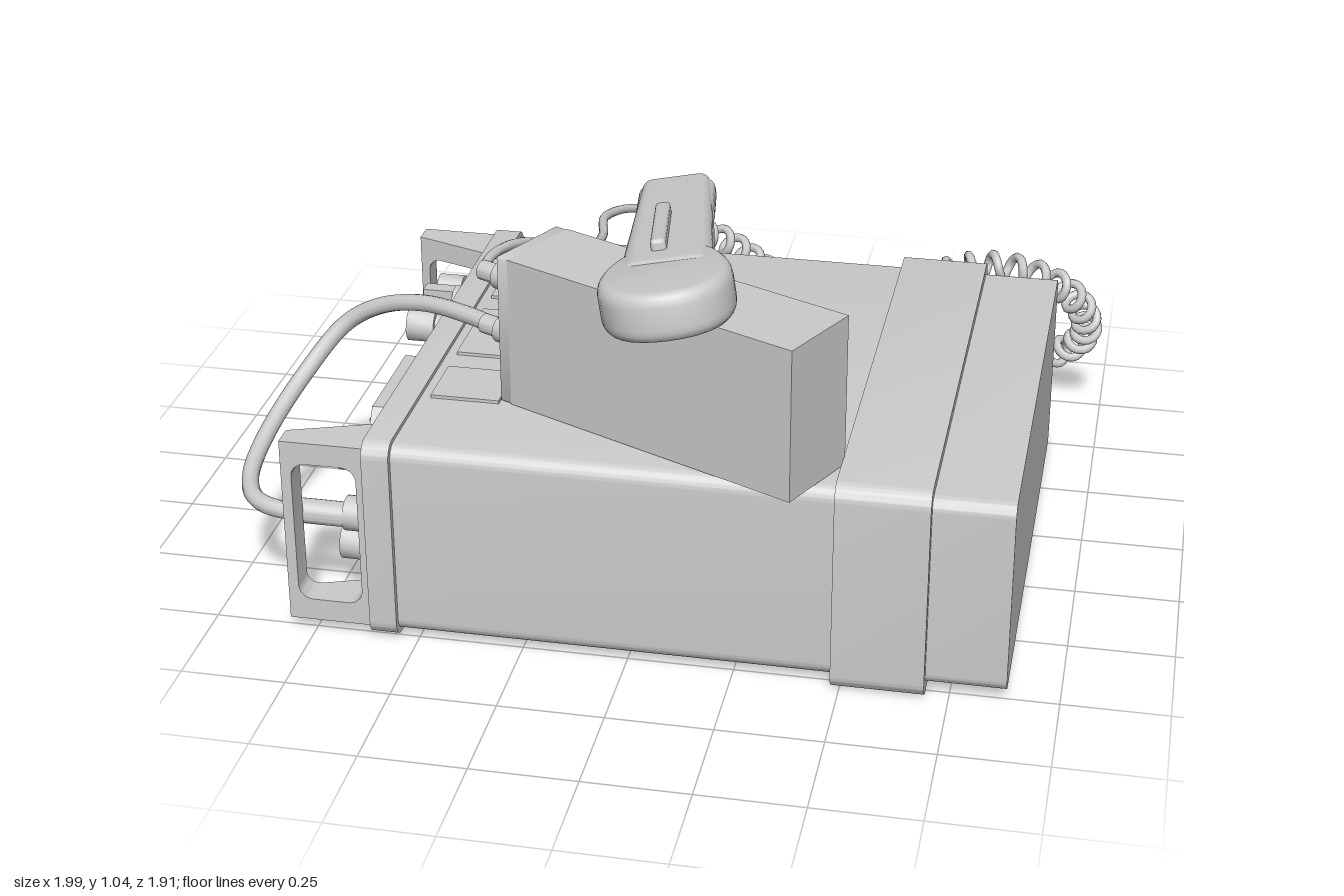
import * as THREE from 'three';
import { toCreasedNormals } from 'three/addons/utils/BufferGeometryUtils.js';
import { RoundedBoxGeometry } from 'three/addons/geometries/RoundedBoxGeometry.js';

const mat = new THREE.MeshStandardMaterial({ color: 0xcccccc });

function add(parent, name, geo, x = 0, y = 0, z = 0) {
  const m = new THREE.Mesh(geo, mat);
  m.name = name;
  m.position.set(x, y, z);
  parent.add(m);
  return m;
}

function roundRect(w, h, r, cx = 0, cy = 0, T = THREE.Shape) {
  const s = new T(), x = w / 2, y = h / 2;
  s.absarc(cx + x - r, cy + y - r, r, 0, Math.PI / 2);
  s.absarc(cx - x + r, cy + y - r, r, Math.PI / 2, Math.PI);
  s.absarc(cx - x + r, cy - y + r, r, Math.PI, Math.PI * 1.5);
  s.absarc(cx + x - r, cy - y + r, r, Math.PI * 1.5, Math.PI * 2);
  s.closePath();
  return s;
}

// Rounded rectangle in the yz plane, extruded along x
function slab(parent, name, x0, x1, y, z, h, w, r, hole) {
  const s = roundRect(w, h, r);
  if (hole) s.holes.push(roundRect(w - hole, h - hole, r, 0, 0, THREE.Path));
  const g = new THREE.ExtrudeGeometry(s, { depth: x1 - x0, bevelEnabled: false, curveSegments: 6 });
  g.rotateY(Math.PI / 2);
  return add(parent, name, toCreasedNormals(g, 0.6), x0, y, z);
}

// Cylinder running from x0 towards -x
function knob(parent, name, x0, y, z, r, len, sides = 20) {
  const g = new THREE.CylinderGeometry(r, r, len, sides);
  g.rotateZ(Math.PI / 2);
  return add(parent, name, toCreasedNormals(g, 0.6), x0 - len / 2, y, z);
}

const curve = pts => new THREE.CatmullRomCurve3(pts.map(p => new THREE.Vector3(...p)));

function cord(parent, name, pts, r) {
  add(parent, name, new THREE.TubeGeometry(curve(pts), 80, r, 10));
}

// Helix wound around a guide curve
function coil(parent, name, pts, radius, pitch, r) {
  const path = curve(pts), turns = Math.round(path.getLength() / pitch), n = turns * 10;
  const f = path.computeFrenetFrames(n), out = [];
  for (let i = 0; i <= n; i++) {
    const a = (i / 10) * Math.PI * 2;
    out.push(path.getPointAt(i / n)
      .addScaledVector(f.normals[i], Math.cos(a) * radius)
      .addScaledVector(f.binormals[i], Math.sin(a) * radius));
  }
  const c = new THREE.CatmullRomCurve3(out);
  c.arcLengthDivisions = n * 3;
  add(parent, name, new THREE.TubeGeometry(c, turns * 16, r, 7));
}

function buildHandle() {
  const s = new THREE.Shape([[-0.81, 0.03], [-0.6, 0.03], [-0.6, 0.5], [-0.81, 0.5]].map(p => new THREE.Vector2(...p)));
  s.holes.push(roundRect(0.155, 0.36, 0.035, -0.708, 0.265, THREE.Path));
  const g = new THREE.ExtrudeGeometry(s, { depth: 1, bevelEnabled: false, curveSegments: 5 });
  // Outer side flat, inner side thickening towards the case
  const p = g.attributes.position;
  for (let i = 0; i < p.count; i++) {
    const t = (p.getX(i) + 0.81) / 0.21;
    p.setZ(i, 0.615 - (1 - p.getZ(i)) * (0.055 + 0.075 * t));
  }
  return toCreasedNormals(g, 0.6);
}

function buildCase(g) {
  slab(g, 'mainCase', -0.6, 0.5, 0.265, 0.155, 0.49, 1.235, 0.035);
  slab(g, 'frontFlange', -0.61, -0.545, 0.265, 0.155, 0.51, 1.265, 0.04);
  slab(g, 'batteryBand', 0.48, 0.695, 0.265, 0.155, 0.53, 1.285, 0.04);
  slab(g, 'batteryBox', 0.69, 0.88, 0.267, 0.155, 0.48, 1.235, 0.03);
  for (const [z, d] of [[-0.125, 0.155], [0.155, 0.25], [0.435, 0.155]])
    add(g, 'topLabelPlate', new THREE.BoxGeometry(0.165, 0.012, d), -0.438, 0.512, z);
  const handle = buildHandle();
  for (const s of [1, -1])
    add(g, 'panelHandle', handle, 0, 0, 0.155).scale.z = s;
}

function buildPanel(g) {
  const p = new THREE.Group();
  p.name = 'controlPanel';
  g.add(p);
  // y, z, radius, length
  const knobs = [[0.4, -0.31, 0.04, 0.11], [0.22, -0.31, 0.055, 0.08], [0.41, -0.07, 0.045, 0.12],
    [0.22, 0.04, 0.035, 0.1], [0.1, 0.03, 0.035, 0.1], [0.3, -0.08, 0.035, 0.1], [0.14, -0.1, 0.04, 0.1],
    [0.39, 0.6, 0.04, 0.1], [0.16, 0.61, 0.045, 0.1]];
  for (const [y, z, r, len] of knobs) {
    knob(p, 'knobBase', -0.6, y, z, r * 1.15, 0.035);
    knob(p, 'knob', -0.6, y, z, r * 0.7, len);
    knob(p, 'knobCap', -0.6 - len * 0.6, y, z, r, len * 0.6, 14);
  }
  for (const y of [0.41, 0.27]) {
    knob(p, 'selectorBase', -0.6, y, -0.2, 0.05, 0.06);
    add(p, 'selectorGrip', new THREE.BoxGeometry(0.09, 0.09, 0.04), -0.695, y, -0.2);
  }
  // Keypad housing with clipped upper corners
  const s = new THREE.Shape([[0.11, 0.01], [0.55, 0.01], [0.55, 0.34], [0.47, 0.45], [0.19, 0.45], [0.11, 0.34]]
    .map(([z, y]) => new THREE.Vector2(-z, y)));
  const housing = new THREE.ExtrudeGeometry(s, { depth: 0.08, bevelEnabled: false });
  housing.rotateY(Math.PI / 2);
  add(p, 'keypadHousing', housing, -0.68, 0, 0);
  add(p, 'display', new THREE.BoxGeometry(0.02, 0.07, 0.24), -0.685, 0.37, 0.33);
  for (let i = 0; i < 4; i++) for (let j = 0; j < 4; j++)
    add(p, 'key', new THREE.BoxGeometry(0.03, 0.055, 0.075), -0.688, 0.06 + i * 0.072, 0.19 + j * 0.094);
  // Cable socket
  knob(p, 'socket', -0.6, 0.27, 0.67, 0.042, 0.09);
  knob(p, 'socketPlug', -0.68, 0.27, 0.68, 0.03, 0.13);
}

function buildSpeaker(g) {
  const s = new THREE.Group();
  s.name = 'speaker';
  s.position.set(0.065, 0.697, 0.575);
  s.rotation.y = -0.443;
  g.add(s);
  add(s, 'speakerBox', new THREE.BoxGeometry(0.79, 0.37, 0.22), 0.015, 0, 0);
  slab(s, 'speakerEndFrame', -0.41, -0.38, 0, 0, 0.37, 0.22, 0.005, 0.035);
  for (const y of [0.075, -0.065]) {
    knob(s, 'speakerSocket', -0.37, y, 0, 0.045, 0.06);
    knob(s, 'speakerPlug', -0.42, y, 0, 0.033, 0.08);
    knob(s, 'plugSleeve', -0.49, y, 0, 0.024, 0.06);
  }
}

function buildHandset(g) {
  const h = new THREE.Group();
  h.name = 'handset';
  h.position.set(0.035, 0.93, 0.37);
  h.rotation.set(-0.11, 0.16, 0.15, 'YXZ');
  g.add(h);
  // Grip widening towards the earpiece
  const grip = new RoundedBoxGeometry(0.18, 0.09, 0.68, 4, 0.03);
  const p = grip.attributes.position;
  for (let i = 0; i < p.count; i++) p.setX(i, p.getX(i) * (1.04 + p.getZ(i) * 0.35));
  add(h, 'grip', grip, 0, 0, 0.04);
  add(h, 'gripCollar', new RoundedBoxGeometry(0.185, 0.065, 0.22, 3, 0.025), 0, 0, -0.18);
  add(h, 'talkSwitch', new RoundedBoxGeometry(0.035, 0.04, 0.29, 2, 0.01), -0.015, 0.05, 0.15);
  // Egg-shaped earpiece
  const egg = new THREE.Shape();
  egg.moveTo(-0.085, 0.15);
  egg.bezierCurveTo(-0.15, 0.05, -0.15, -0.13, 0, -0.13);
  egg.bezierCurveTo(0.15, -0.13, 0.15, 0.05, 0.085, 0.15);
  egg.closePath();
  const ear = new THREE.ExtrudeGeometry(egg,
    { depth: 0.05, bevelThickness: 0.03, bevelSize: 0.022, bevelSegments: 4, curveSegments: 14 });
  ear.rotateX(-Math.PI / 2);
  add(h, 'earpiece', toCreasedNormals(ear, 0.8), 0, -0.04, 0.44);

  // Mouthpiece hanging from the rear end of the grip
  const m = new THREE.Group();
  m.name = 'mouthpiece';
  m.position.set(0.035, 0.645, 0.13);
  m.rotation.set(0.3, 0.16, 0.1, 'YXZ');
  g.add(m);
  const pod = new RoundedBoxGeometry(0.17, 0.2, 0.1, 4, 0.045);
  const q = pod.attributes.position;
  for (let i = 0; i < q.count; i++) {
    const t = 0.85 - q.getY(i) * 2;
    q.setX(i, q.getX(i) * t);
    q.setZ(i, q.getZ(i) * t);
  }
  add(m, 'mouthpiecePod', pod);
  add(m, 'mouthpieceNeck', new RoundedBoxGeometry(0.09, 0.2, 0.05, 3, 0.02), 0, 0.15, 0.02);
  cord(g, 'cordSleeve', [[-0.005, 0.86, 0.15], [-0.01, 0.8, 0.12], [-0.015, 0.74, 0.07]], 0.022);
}

function buildCords(g) {
  cord(g, 'speakerCable', [[-0.39, 0.632, 0.362], [-0.47, 0.632, 0.31], [-0.62, 0.615, 0.225], [-0.75, 0.57, 0.175],
    [-0.84, 0.51, 0.17], [-0.92, 0.41, 0.25], [-0.97, 0.32, 0.42], [-0.965, 0.28, 0.56], [-0.92, 0.272, 0.65],
    [-0.85, 0.27, 0.685], [-0.76, 0.27, 0.68]], 0.021);
  cord(g, 'handsetLead', [[-0.38, 0.772, 0.365], [-0.43, 0.77, 0.31], [-0.43, 0.765, 0.22], [-0.4, 0.74, 0.1],
    [-0.33, 0.66, -0.07], [-0.29, 0.61, -0.2], [-0.3, 0.57, -0.36], [-0.33, 0.55, -0.52], [-0.29, 0.51, -0.68],
    [-0.22, 0.47, -0.75], [-0.16, 0.45, -0.73]], 0.012);
  coil(g, 'coiledCord', [[-0.17, 0.45, -0.73], [-0.06, 0.37, -0.82], [0.08, 0.22, -0.91], [0.2, 0.11, -0.9],
    [0.35, 0.075, -0.83], [0.55, 0.075, -0.81], [0.72, 0.08, -0.815], [0.86, 0.12, -0.8], [0.945, 0.22, -0.72],
    [0.94, 0.34, -0.63], [0.87, 0.44, -0.56], [0.75, 0.49, -0.53], [0.63, 0.48, -0.53], [0.5, 0.39, -0.57],
    [0.36, 0.22, -0.62], [0.2, 0.09, -0.66], [0.05, 0.09, -0.66], [-0.08, 0.2, -0.62], [-0.18, 0.37, -0.57],
    [-0.225, 0.47, -0.56], [-0.15, 0.49, -0.525]], 0.031, 0.06, 0.012);
  cord(g, 'handsetCord', [[-0.14, 0.49, -0.52], [-0.19, 0.54, -0.46], [-0.15, 0.56, -0.33], [-0.1, 0.59, -0.22],
    [-0.05, 0.63, -0.1], [-0.02, 0.7, 0.02], [-0.01, 0.77, 0.1]], 0.012);
}

export function createModel() {
  const g = new THREE.Group();
  g.name = 'fieldRadio';
  buildCase(g);
  buildPanel(g);
  buildSpeaker(g);
  buildHandset(g);
  buildCords(g);
  return g;
}
